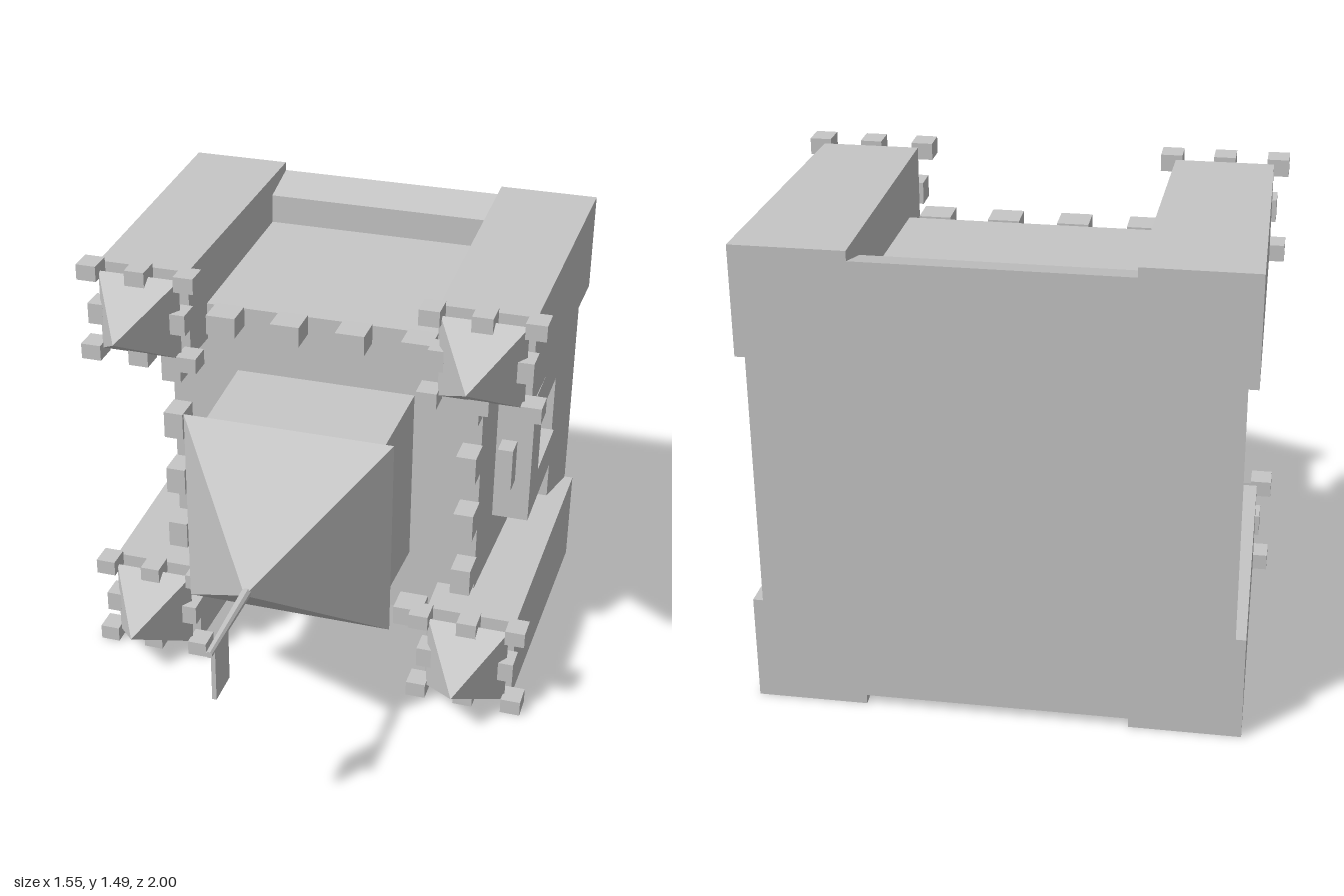
import * as THREE from 'three';

// A square castle whose towers rise along +z, with its base at z = -1.
const CY = 0.7425; // height of the castle's central axis

export function createModel() {
  const stone = new THREE.MeshStandardMaterial({ color: 0xc6c6c6 });
  stone.name = 'grey stone';
  const model = new THREE.Group();
  model.name = 'castle';

  function add(parent, name, geometry, x = 0, y = 0, z = 0) {
    const mesh = new THREE.Mesh(geometry, stone);
    mesh.name = name;
    mesh.position.set(x, y, z);
    parent.add(mesh);
    return mesh;
  }

  // Tapered prism along z, h0 and h1 being half widths at z0 and z1
  function prism(h0, h1, z0, z1, sides = 4) {
    const k = sides === 4 ? Math.SQRT2 : 1;
    const g = new THREE.CylinderGeometry(h1 * k, h0 * k, z1 - z0, sides);
    g.rotateY(Math.PI / sides);
    g.rotateX(Math.PI / 2);
    g.translate(0, 0, (z0 + z1) / 2);
    const flat = g.toNonIndexed();
    flat.computeVertexNormals();
    return flat;
  }

  function block(parent, name, w, h, z0, z1, x, y) {
    return add(parent, name, new THREE.BoxGeometry(w, h, z1 - z0), x, y, (z0 + z1) / 2);
  }

  // Plinth, walls and keep stacked on the central axis
  const centre = new THREE.Group();
  centre.name = 'centralBuilding';
  centre.position.y = CY;
  model.add(centre);
  add(centre, 'plinth', prism(0.7125, 0.6725, -1, -0.845));
  add(centre, 'walls', prism(0.57, 0.545, -0.845, -0.17));
  add(centre, 'keep', prism(0.31, 0.3, -0.17, 0.245));
  add(centre, 'keepRoof', prism(0.35, 0, 0.245, 0.68));
  add(centre, 'flagPole', prism(0.016, 0.011, 0.66, 1, 8));
  block(centre, 'flag', 0.014, 0.18, 0.85, 0.967, 0, -0.097);

  // Four wall merlons on each side
  for (const t of [-0.333, -0.111, 0.111, 0.333]) {
    for (const s of [-1, 1]) {
      block(centre, 'wallMerlon', 0.1, 0.07, -0.17, -0.07, t, s * 0.516);
      block(centre, 'wallMerlon', 0.068, 0.097, -0.17, -0.07, s * 0.515, t);
    }
  }

  // Corner towers with merlons and a raised pointed roof
  for (const sx of [-1, 1]) {
    for (const sy of [-1, 1]) {
      const tower = new THREE.Group();
      tower.name = 'cornerTower';
      tower.position.set(sx * 0.573, CY + sy * 0.5725, 0);
      model.add(tower);
      add(tower, 'towerShaft', prism(0.17, 0.155, -1, -0.012));
      add(tower, 'towerRoof', prism(0.14, 0, 0.031, 0.267));
      for (const s of [-1, 1]) {
        for (const i of [-1, 0, 1]) {
          block(tower, 'towerMerlon', 0.068, 0.054, -0.012, 0.07, i * 0.168, s * 0.143);
        }
        block(tower, 'towerMerlon', 0.052, 0.072, -0.012, 0.07, s * 0.143, 0);
      }
    }
  }

  // Gatehouse on the left wall: an arch outline in z and y, extruded along x
  const arch = new THREE.Shape([
    [0.845, -0.2425], [0.845, -0.12], [0.54, -0.12], [0.54, 0.12],
    [0.845, 0.12], [0.845, 0.2425], [0.39, 0.2425], [0.39, -0.2425],
  ].map(([a, b]) => new THREE.Vector2(a, b)));
  const gate = new THREE.ExtrudeGeometry(arch, { depth: 0.14, bevelEnabled: false });
  gate.rotateY(Math.PI / 2); // outline runs toward -z, depth toward +x
  add(model, 'gatehouse', gate, 0.54, CY, 0);
  block(model, 'gatehouseMerlon', 0.053, 0.155, -0.372, -0.297, 0.603, 0.744);

  return model;
}
